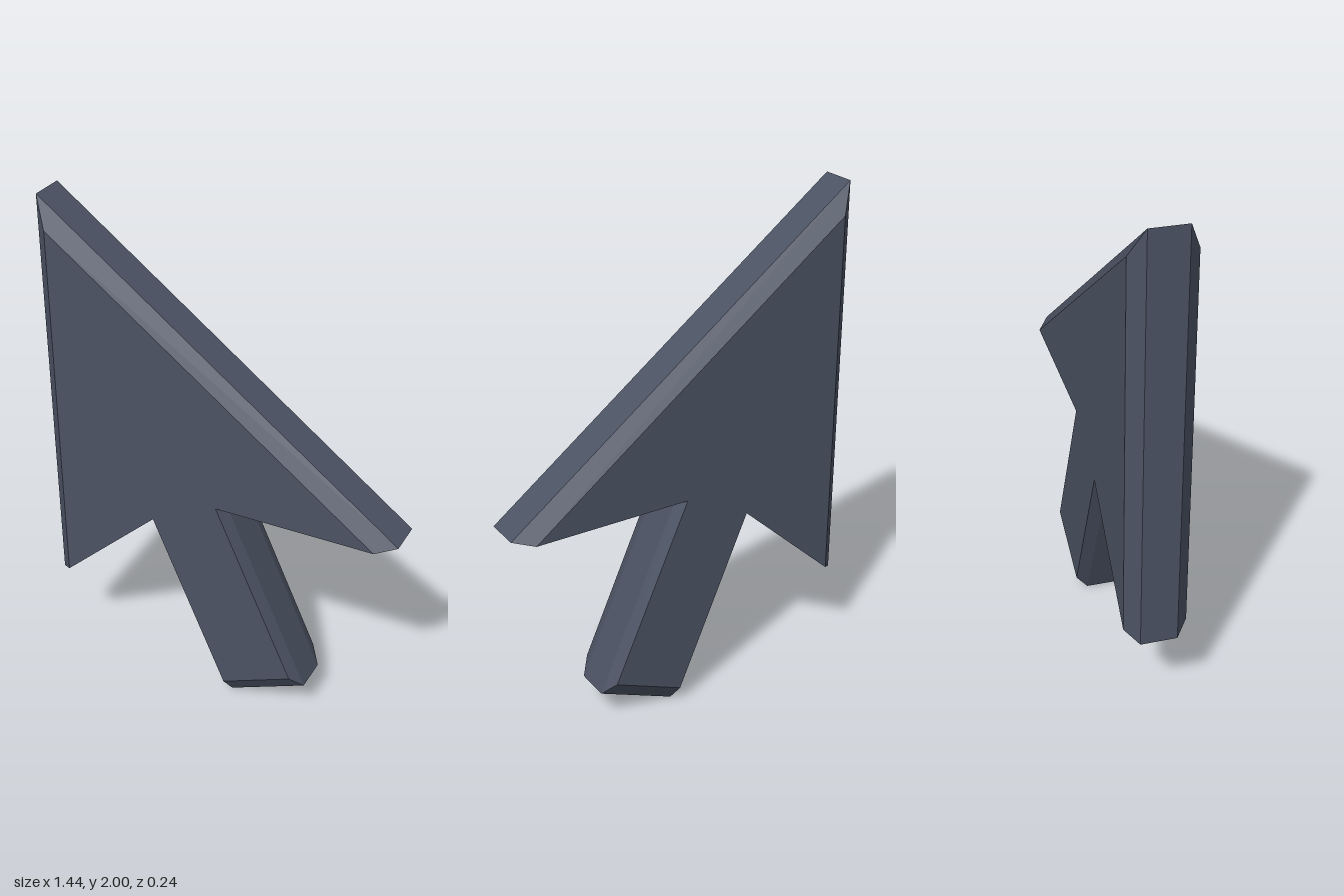
import * as THREE from 'three';

// Pointer outline, clockwise from the tip as seen from the front
const OUTLINE = [
  [-0.72, 2], [0.72, 0.925], [0.024, 0.922], [0.376, 0.14],
  [0.06, 0], [-0.274, 0.775], [-0.72, 0.362],
].map(([x, y]) => new THREE.Vector2(x, y));

// Front and back faces are the outline shrunk about one centre
const CENTRE = new THREE.Vector2(-0.11, 0.75);
const FACE_SCALE = 0.91;
const RIM_Z = 0.069;
const FACE_Z = 0.118;

function pointerGeometry() {
  const face = OUTLINE.map((p) => p.clone().sub(CENTRE).multiplyScalar(FACE_SCALE).add(CENTRE));
  const ring = (points, z) => points.map((p) => new THREE.Vector3(p.x, p.y, z));
  const rings = [ring(face, FACE_Z), ring(OUTLINE, RIM_Z), ring(OUTLINE, -RIM_Z), ring(face, -FACE_Z)];
  const corners = [];

  // Bevels and rim, front to back
  for (let r = 0; r < 3; r++) {
    for (let i = 0; i < OUTLINE.length; i++) {
      const j = (i + 1) % OUTLINE.length;
      const a = rings[r][i], b = rings[r][j], c = rings[r + 1][j], d = rings[r + 1][i];
      corners.push(a, b, c, a, c, d);
    }
  }

  // Flat faces, wound outwards whatever order the triangulation gives
  for (const [a, b, c] of THREE.ShapeUtils.triangulateShape(face, [])) {
    const ccw = (face[b].x - face[a].x) * (face[c].y - face[a].y)
      - (face[b].y - face[a].y) * (face[c].x - face[a].x) > 0;
    const [p, q] = ccw ? [b, c] : [c, b];
    corners.push(rings[0][a], rings[0][p], rings[0][q]);
    corners.push(rings[3][a], rings[3][q], rings[3][p]);
  }

  const geometry = new THREE.BufferGeometry().setFromPoints(corners);
  geometry.computeVertexNormals();
  return geometry;
}

export function createModel() {
  const slate = new THREE.MeshStandardMaterial({ color: 0x4b5263 });
  slate.name = 'slate';

  const pointer = new THREE.Mesh(pointerGeometry(), slate);
  pointer.name = 'arrowPointer';

  const group = new THREE.Group();
  group.name = 'pointerArrow';
  group.add(pointer);
  return group;
}
